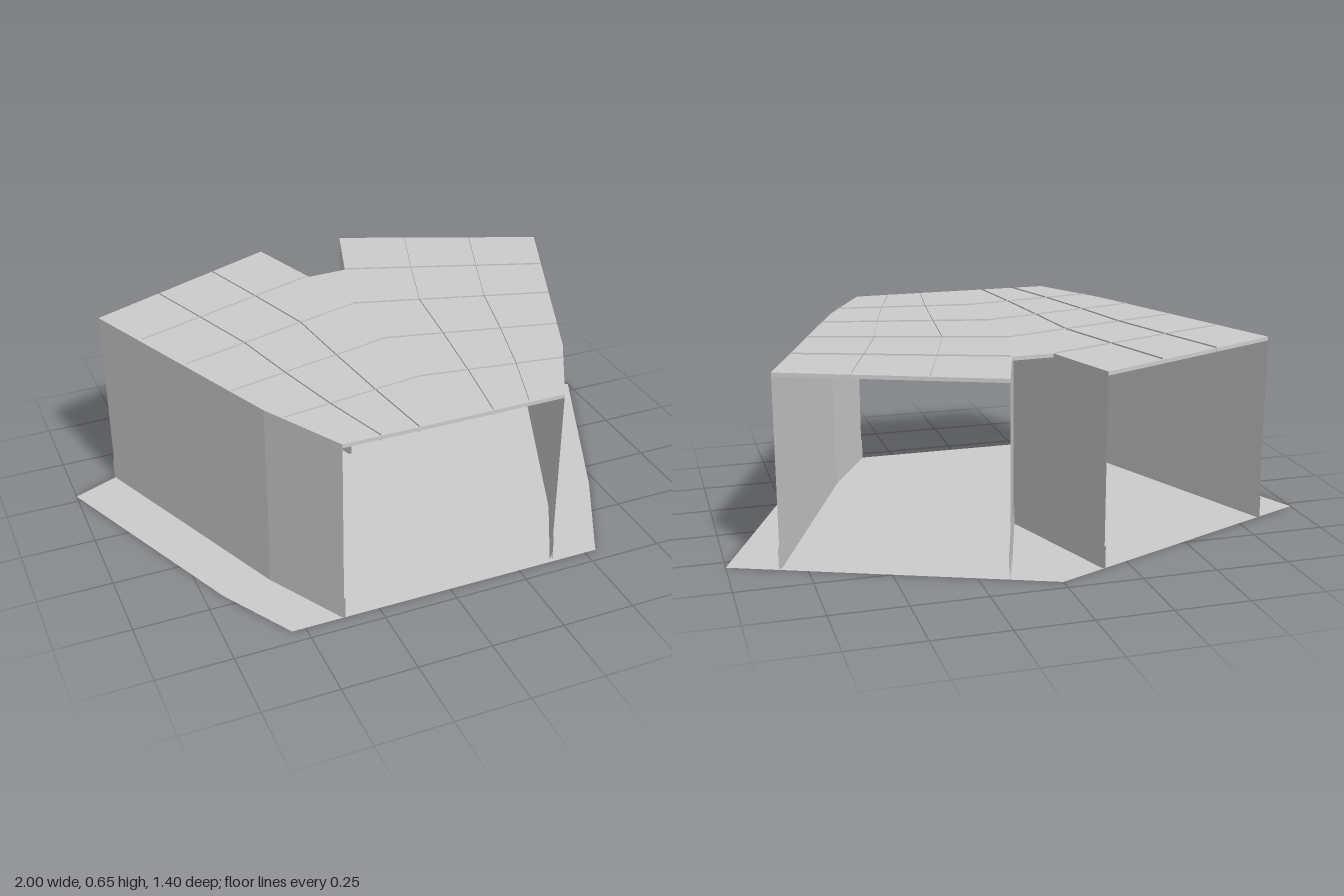
import * as THREE from 'three';

const mat = new THREE.MeshStandardMaterial({ color: 0xcccccc, flatShading: true, side: THREE.DoubleSide });
const ROOF = 0.65;

function shapeOf(points) {
  // y of the shape becomes -z once laid flat
  return new THREE.Shape(points.map(([x, z]) => new THREE.Vector2(x, -z)));
}

// Upright sheet following a plan path of [x, z] points
function ribbon(path, y0, y1, shift = 0) {
  const pos = [];
  const index = [];
  path.forEach(([x, z], i) => {
    pos.push(x + shift, y0, z, x + shift, y1, z);
    if (i > 0) {
      const a = 2 * (i - 1);
      index.push(a, a + 2, a + 1, a + 1, a + 2, a + 3);
    }
  });
  const g = new THREE.BufferGeometry();
  g.setAttribute('position', new THREE.Float32BufferAttribute(pos, 3));
  g.setIndex(index);
  g.computeVertexNormals();
  return g;
}

// Point at fraction t along a polyline
function along(path, t) {
  const p = new THREE.CurvePath();
  for (let i = 1; i < path.length; i++) {
    p.add(new THREE.LineCurve(new THREE.Vector2(...path[i - 1]), new THREE.Vector2(...path[i])));
  }
  return p.getPoint(t);
}

export function createModel() {
  const root = new THREE.Group();
  const add = (name, geometry, parent = root) => {
    const m = new THREE.Mesh(geometry, mat);
    m.name = name;
    parent.add(m);
    return m;
  };

  // Ground sheet
  const ground = new THREE.ShapeGeometry(shapeOf([
    [0, -0.705], [1, -0.295], [0.72, 0.35], [0.54, 0.7],
    [-0.545, 0.7], [-0.69, 0.45], [-1, -0.28],
  ]));
  ground.rotateX(-Math.PI / 2);
  add('ground', ground);

  // Roof slab with a notch at the back
  const roof = new THREE.ExtrudeGeometry(shapeOf([
    [0.835, -0.36], [0.52, 0.42], [0.37, 0.7], [-0.37, 0.7], [-0.52, 0.43], [-0.84, -0.35],
    [-0.16, -0.637], [-0.07, -0.37], [0.07, -0.375], [0.153, -0.637],
  ]), { depth: 0.013, bevelEnabled: false });
  roof.rotateX(-Math.PI / 2);
  roof.translate(0, ROOF - 0.014, 0);
  add('roof', roof);

  // Side walls and the V-shaped courtyard wall, each with low skirting
  const walls = {
    rightWall: [[-0.84, -0.35], [-0.52, 0.43], [-0.37, 0.7]],
    leftWall: [[0.835, -0.36], [0.52, 0.42], [0.37, 0.7]],
    courtyardWall: [[-0.16, -0.637], [0, -0.16], [0.153, -0.637]],
  };
  for (const [name, path] of Object.entries(walls)) {
    const group = new THREE.Group();
    group.name = name;
    add('wallPanel', ribbon(path, 0, ROOF - 0.002), group);
    for (const s of [-1, 1]) add('skirting', ribbon(path, 0, 0.075, s * 0.004), group);
    root.add(group);
  }

  // Thin upright seams dividing each roof wing into panels
  const outer = [[0.83, -0.358], [0.52, 0.42], [0.37, 0.7]];
  const inner = [[0.153, -0.635], [0.075, -0.38], [0, -0.16], [0, 0.7]];
  const at = (s, t) => {
    const a = along(outer, t);
    const p = along(inner, t).lerp(a, s);
    return [p.x, p.y];
  };
  for (const side of [1, -1]) {
    const wing = new THREE.Group();
    wing.name = side > 0 ? 'leftRoofSeams' : 'rightRoofSeams';
    const seam = (name, a, b) => add(name,
      ribbon([a, b].map(([x, z]) => [x * side, z]), ROOF - 0.018, ROOF + 0.004), wing);
    const rows = [0, 0.2, 0.4, 0.6, 0.8, 1];
    for (const t of rows.slice(1, -1)) seam('crossSeam', at(0, t), at(1, t));
    for (const s of [1 / 3, 2 / 3]) {
      for (let i = 1; i < rows.length; i++) seam('longSeam', at(s, rows[i - 1]), at(s, rows[i]));
    }
    root.add(wing);
  }
  return root;
}
